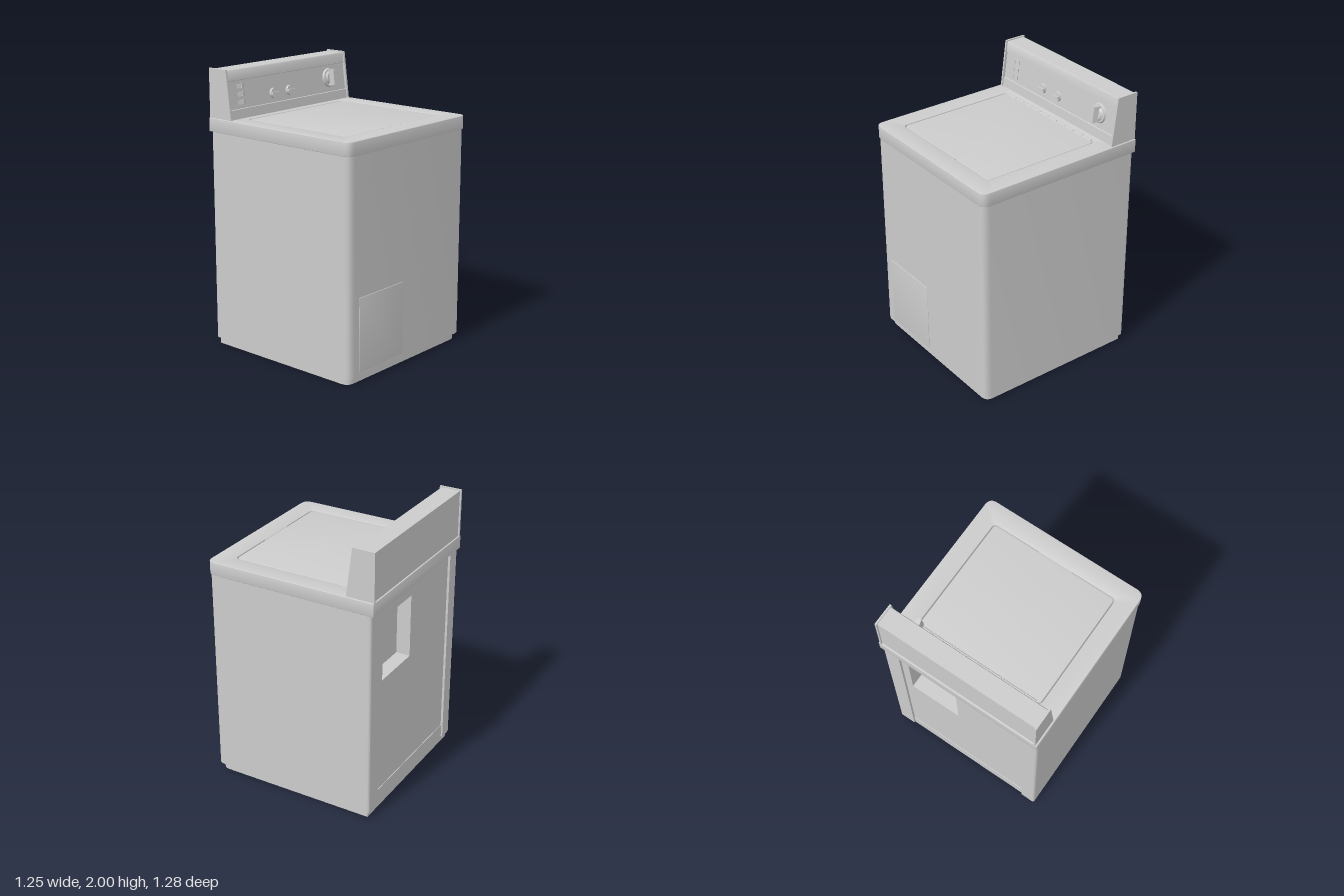
import * as THREE from 'three';
import { toCreasedNormals } from 'three/addons/utils/BufferGeometryUtils.js';

const material = new THREE.MeshStandardMaterial({ color: 0xcccccc });

function add(parent, name, geometry, x = 0, y = 0, z = 0) {
  const mesh = new THREE.Mesh(geometry, material);
  mesh.name = name;
  mesh.position.set(x, y, z);
  parent.add(mesh);
  return mesh;
}

// Rectangle with one radius for the low-y corners and another for the high-y corners
function roundRect(path, x0, x1, y0, y1, rLow, rHigh = rLow) {
  path.moveTo(x0 + rLow, y0);
  path.lineTo(x1 - rLow, y0);
  if (rLow) path.quadraticCurveTo(x1, y0, x1, y0 + rLow);
  path.lineTo(x1, y1 - rHigh);
  if (rHigh) path.quadraticCurveTo(x1, y1, x1 - rHigh, y1);
  path.lineTo(x0 + rHigh, y1);
  if (rHigh) path.quadraticCurveTo(x0, y1, x0, y1 - rHigh);
  path.lineTo(x0, y0 + rLow);
  if (rLow) path.quadraticCurveTo(x0, y0, x0 + rLow, y0);
  return path;
}

function extrude(shape, depth, bevel = 0) {
  const geometry = new THREE.ExtrudeGeometry(shape, {
    depth: depth - 2 * bevel, curveSegments: 8, bevelEnabled: bevel > 0,
    bevelSize: bevel, bevelThickness: bevel, bevelOffset: -bevel, bevelSegments: 3,
  });
  geometry.translate(0, 0, bevel);
  return toCreasedNormals(geometry, 0.6);
}

// Plan outline (x, -z) raised upward
const raise = (shape, height, bevel) => extrude(shape, height, bevel).rotateX(-Math.PI / 2);

// Side profile (z, y) swept along x, centred
function sweep(points, width) {
  const shape = new THREE.Shape(points.map(([z, y]) => new THREE.Vector2(-z, y)));
  return extrude(shape, width).rotateY(Math.PI / 2).translate(-width / 2, 0, 0);
}

function knob(radius, depth, gripDepth) {
  const group = new THREE.Group();
  const skirt = new THREE.CylinderGeometry(radius * 0.92, radius, depth, 32).rotateX(Math.PI / 2);
  add(group, 'knobSkirt', skirt, 0, 0, depth / 2);
  return { group, grip: (w, h, taper) => {
    const shape = new THREE.Shape([[-w, 0], [w, 0], [w * taper, gripDepth], [-w * taper, gripDepth]]
      .map(([a, b]) => new THREE.Vector2(a, b)));
    const geometry = extrude(shape, h).translate(0, 0, -h / 2).rotateX(Math.PI / 2);
    return add(group, 'knobGrip', geometry, 0, 0, depth - 0.002);
  } };
}

export function createModel() {
  const model = new THREE.Group();
  model.name = 'washingMachine';

  // Base plinth
  add(model, 'plinth', raise(roundRect(new THREE.Shape(), -0.6, 0.6, -0.61, 0.6, 0.06, 0), 0.05));

  // Cabinet wrapped round the sides, with an opening at the back
  const cabinet = new THREE.Shape();
  cabinet.moveTo(-0.56, -0.635);
  cabinet.lineTo(0.56, -0.635);
  cabinet.quadraticCurveTo(0.62, -0.635, 0.62, -0.575);
  cabinet.lineTo(0.62, 0.6);
  cabinet.quadraticCurveTo(0.62, 0.62, 0.6, 0.62);
  for (const [x, y] of [[0.49, 0.62], [0.49, 0.5], [-0.51, 0.5], [-0.51, 0.62], [-0.6, 0.62]]) cabinet.lineTo(x, y);
  cabinet.quadraticCurveTo(-0.62, 0.62, -0.62, 0.6);
  cabinet.lineTo(-0.62, -0.575);
  cabinet.quadraticCurveTo(-0.62, -0.635, -0.56, -0.635);
  add(model, 'cabinet', raise(cabinet, 1.515), 0, 0.048, 0);

  // Back panel with a pocket, and a strip along its foot
  const back = roundRect(new THREE.Shape(), -0.51, 0.49, 0.15, 1.55, 0);
  back.holes.push(roundRect(new THREE.Path(), 0.04, 0.43, 1.0, 1.46, 0));
  add(model, 'backPanel', extrude(back, 0.103), 0, 0, -0.603);
  add(model, 'backFootStrip', new THREE.BoxGeometry(1, 0.102, 0.108), -0.01, 0.1, -0.554);

  // Service door low on the front
  const door = roundRect(new THREE.Shape(), -0.515, -0.055, 0.08, 0.6, 0.008);
  add(model, 'serviceDoor', extrude(door, 0.012, 0.002), 0, 0, 0.6265);

  // Top deck with an opening for the lid
  const deck = roundRect(new THREE.Shape(), -0.626, 0.626, -0.64, 0.637, 0.06, 0.004);
  const opening = roundRect(new THREE.Path(), -0.49, 0.49, -0.5, 0.392, 0.035);
  deck.holes.push(opening);
  add(model, 'topDeck', raise(deck, 0.095, 0.003), 0, 1.56, 0);

  // Lid, finger lip and hinge knuckles
  const lid = roundRect(new THREE.Shape(), -0.483, 0.483, -0.493, 0.386, 0.03);
  add(model, 'lid', raise(lid, 0.085, 0.003), 0, 1.568, 0);
  add(model, 'lidFingerLip', new THREE.BoxGeometry(0.27, 0.012, 0.008), -0.01, 1.648, 0.495);
  for (let i = 0; i < 10; i++) {
    const knuckle = new THREE.CylinderGeometry(0.012, 0.012, 0.087, 12).rotateZ(Math.PI / 2);
    add(model, 'hingeKnuckle', knuckle, -0.412 + i * 0.0915, 1.648, -0.388);
  }

  // Control console: housing with a recessed, leaning panel, between end caps
  const consoleGroup = new THREE.Group();
  consoleGroup.name = 'console';
  model.add(consoleGroup);
  add(consoleGroup, 'consoleHousing', sweep([
    [-0.627, 1.65], [-0.44, 1.65], [-0.449, 1.72], [-0.457, 1.722], [-0.482, 1.914],
    [-0.474, 1.918], [-0.482, 1.985], [-0.488, 1.992], [-0.627, 1.992],
  ], 1.21));
  for (const side of [-1, 1]) {
    const cap = sweep([[-0.637, 1.65], [-0.43, 1.65], [-0.474, 2], [-0.637, 2]], 0.014);
    add(consoleGroup, 'consoleEndCap', cap, side * 0.608, 0, 0);
  }

  // Controls sit square to the leaning panel
  const mount = (object, name, x, y) => {
    object.name = name;
    object.position.set(x, y, -0.457 - (y - 1.722) * 0.13);
    object.rotation.x = -0.13;
    consoleGroup.add(object);
  };
  for (const x of [-0.165, 0]) {
    const small = knob(0.036, 0.016, 0.018);
    small.grip(0.033, 0.014, 0.95);
    mount(small.group, 'smallKnob', x, 1.788);
  }
  const large = knob(0.07, 0.014, 0.052);
  large.grip(0.024, 0.115, 0.55);
  const hub = new THREE.CylinderGeometry(0.04, 0.054, 0.014, 32).rotateX(Math.PI / 2);
  add(large.group, 'knobHub', hub, 0, 0, 0.02);
  mount(large.group, 'timerKnob', 0.432, 1.825);

  // Three pairs of rocker buttons
  for (const y of [1.875, 1.82, 1.765]) {
    const pair = new THREE.Group();
    for (const side of [-1, 1]) {
      const button = add(pair, 'rockerHalf', new THREE.BoxGeometry(0.029, 0.028, 0.014), side * 0.0155, 0, 0.005);
      button.rotation.y = side * 0.3;
    }
    mount(pair, 'rockerButton', -0.48, y);
  }
  return model;
}
